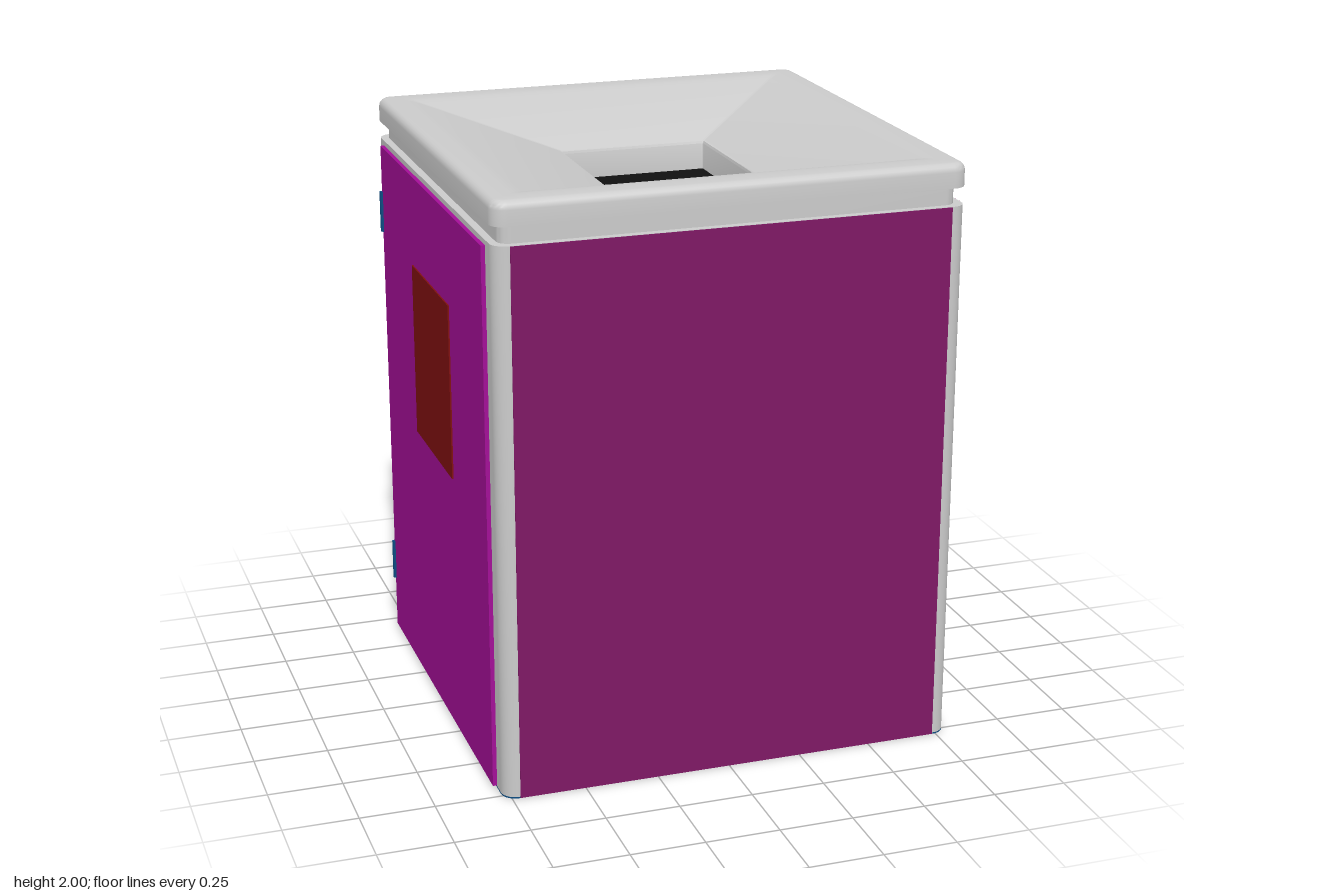
import * as THREE from 'three';
import { toCreasedNormals } from 'three/addons/utils/BufferGeometryUtils.js';

const H = 0.783;        // half width of the cabinet
const CX = 0.007;       // cabinet centre, the door shifts it slightly
const BODY_TOP = 1.86;

const mat = (color) => new THREE.MeshStandardMaterial({ color });
const grey = mat(0xcccccc);
const panelPurple = mat(0x7f1865);
const doorPurple = mat(0xa40f98);
const red = mat(0x801010);
const blue = mat(0x0b4c82);
const black = mat(0x111111);

function add(parent, name, geometry, material, x = 0, y = 0, z = 0) {
  const mesh = new THREE.Mesh(geometry, material);
  mesh.name = name;
  mesh.position.set(x, y, z);
  parent.add(mesh);
  return mesh;
}

// Counter-clockwise rounded square outline
function outline(half, radius, steps = 8) {
  const points = [];
  for (let c = 0; c < 4; c++) {
    const a0 = c * Math.PI / 2;
    const cx = Math.SQRT2 * (half - radius) * Math.cos(a0 + Math.PI / 4);
    const cy = Math.SQRT2 * (half - radius) * Math.sin(a0 + Math.PI / 4);
    for (let i = 0; i <= steps; i++) {
      const a = a0 + (i / steps) * Math.PI / 2;
      points.push(new THREE.Vector2(cx + radius * Math.cos(a), cy + radius * Math.sin(a)));
    }
  }
  return points;
}

// Rounded square prism standing on y = 0, optionally hollow
function prism(half, radius, height, hole = 0) {
  const shape = new THREE.Shape(outline(half, radius));
  if (hole) shape.holes.push(new THREE.Path(outline(hole, 0.01).reverse()));
  const g = new THREE.ExtrudeGeometry(shape, { depth: height, bevelEnabled: false });
  return toCreasedNormals(g.rotateX(-Math.PI / 2), 0.6);
}

// Skin over stacked rounded squares, each given as [half, radius, y]
function loft(sections) {
  const positions = [], index = [];
  let n = 0;
  for (const [half, radius, y] of sections) {
    const ring = outline(half, radius);
    n = ring.length;
    for (const p of ring) positions.push(p.x, y, -p.y);
  }
  for (let s = 0; s < sections.length - 1; s++) {
    for (let i = 0; i < n; i++) {
      const a = s * n + i, b = s * n + (i + 1) % n;
      index.push(a, b, b + n, a, b + n, a + n);
    }
  }
  const g = new THREE.BufferGeometry();
  g.setAttribute('position', new THREE.Float32BufferAttribute(positions, 3));
  g.setIndex(index);
  return toCreasedNormals(g, 0.5);
}

export function createModel() {
  const model = new THREE.Group();
  model.name = 'litterBin';

  const cabinet = new THREE.Group();
  cabinet.name = 'cabinet';
  cabinet.position.x = CX;
  model.add(cabinet);

  // Frame with rounded corner posts, and the base plate
  add(cabinet, 'frame', prism(H, 0.05, BODY_TOP - 0.005, 0.74), grey, 0, 0.005);
  add(cabinet, 'basePlate', prism(H, 0.05, 0.005), blue);

  // Cladding panels between the posts on front, right and back
  const side = new THREE.BoxGeometry(1.46, BODY_TOP - 0.002, 0.01);
  for (const [name, angle] of [['frontPanel', 0], ['leftPanel', Math.PI / 2], ['backPanel', Math.PI]]) {
    const x = Math.sin(angle) * (H - 0.003), z = Math.cos(angle) * (H - 0.003);
    add(cabinet, name, side, panelPurple, x, BODY_TOP / 2, z).rotation.y = angle;
  }

  // Neck and lid: outer edge, rounded rim, funnel and throat
  const sections = [[0.757, 0.04, BODY_TOP], [0.757, 0.04, 1.92], [H + 0.002, 0.05, 1.92], [H + 0.002, 0.05, 1.972]];
  for (let i = 1; i <= 5; i++) {
    const a = (i / 5) * Math.PI / 2;
    sections.push([H - 0.026 + 0.028 * Math.cos(a), 0.022 + 0.028 * Math.cos(a), 1.972 + 0.028 * Math.sin(a)]);
  }
  sections.push(
    [0.7, 0.015, 2], [0.68, 0.01, 1.998], [0.655, 0.008, 1.992],
    [0.265, 0.006, 1.882], [0.258, 0.005, 1.878], [0.255, 0.005, 1.87], [0.255, 0.005, 1.77],
  );
  add(cabinet, 'lid', loft(sections), grey);
  add(cabinet, 'opening', new THREE.BoxGeometry(0.53, 0.02, 0.53), black, 0, 1.77);

  // Door with notice plate and hinges
  const door = new THREE.Group();
  door.name = 'door';
  model.add(door);
  add(door, 'doorPanel', new THREE.BoxGeometry(0.016, 1.835, 1.375), doorPurple, -0.782, 0.925, 0);
  add(door, 'noticePlate', new THREE.BoxGeometry(0.006, 0.6, 0.495), red, -0.792, 1.23, 0.015);
  for (const y of [0.27, 1.605]) {
    add(door, 'hinge', new THREE.CylinderGeometry(0.01, 0.01, 0.145, 16), blue, -0.79, y, -0.685);
  }

  return model;
}
